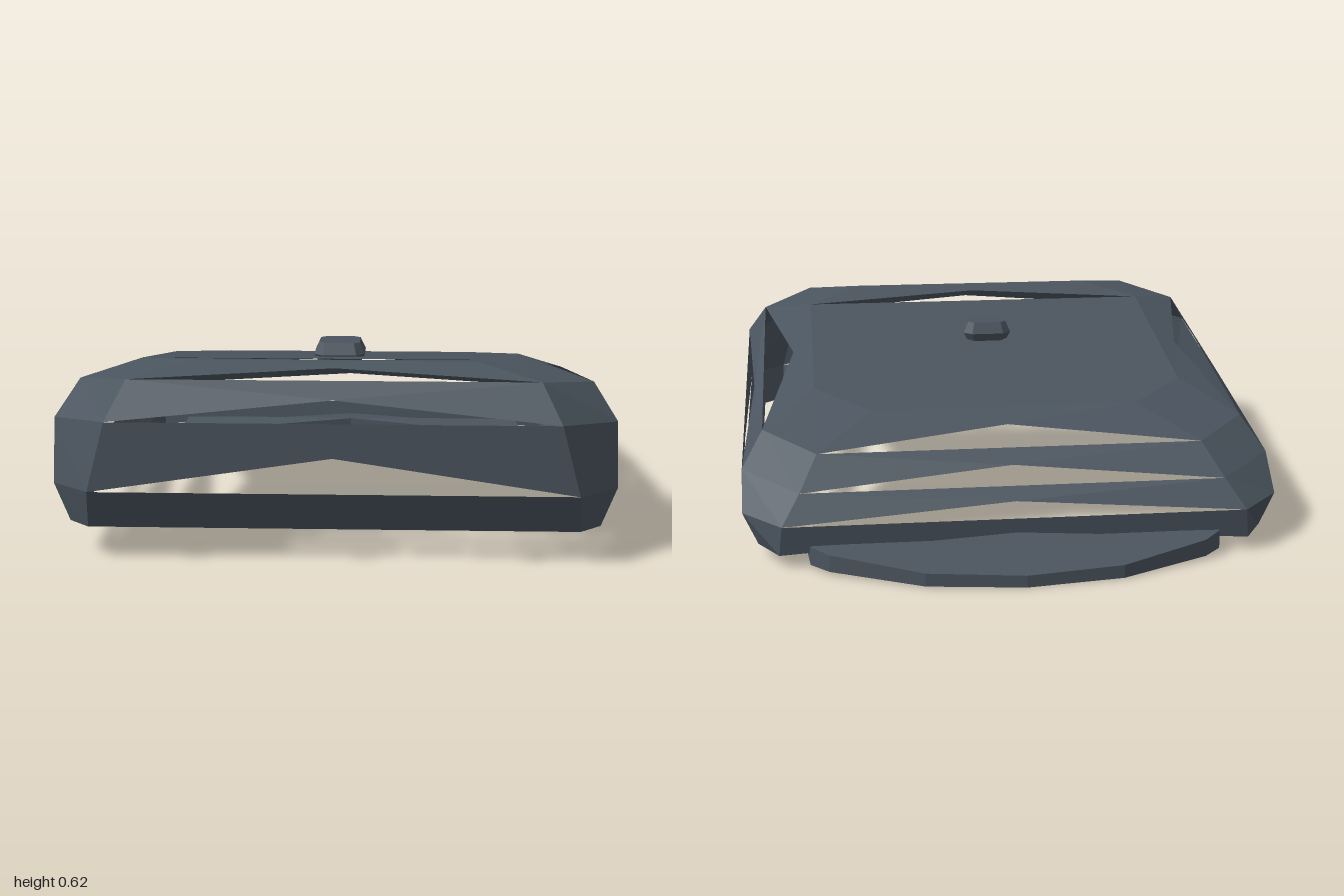
import * as THREE from 'three';

// Builds one flat-shaded mesh from convex polygons fanned from their first corner
function polyMesh(name, polys, material) {
  const pos = [];
  for (const p of polys) {
    for (let i = 1; i < p.length - 1; i++) pos.push(...p[0], ...p[i], ...p[i + 1]);
  }
  const g = new THREE.BufferGeometry();
  g.setAttribute('position', new THREE.Float32BufferAttribute(pos, 3));
  g.computeVertexNormals();
  const mesh = new THREE.Mesh(g, material);
  mesh.name = name;
  return mesh;
}

const flip = ([x, y, z]) => [-x, y, z];

// Full eight-cornered ring from its four left-hand corners, front to back
const ring = (h) => [flip(h[0]), ...h, flip(h[3]), flip(h[2]), flip(h[1])];

export function createModel() {
  const group = new THREE.Group();
  group.name = 'slottedCap';
  const slate = new THREE.MeshStandardMaterial({ color: 0x4b555f, side: THREE.DoubleSide, flatShading: true });
  slate.name = 'slate';

  // Rings from crown to rim
  const topY = (z) => 0.62 - 0.162 * (0.77 - z);
  const rings = [
    [[0.46, topY(0.77), 0.77], [0.65, topY(0.58), 0.58], [0.65, topY(-0.21), -0.21], [0.46, topY(-0.4), -0.4]],
    [[0.65, 0.585, 0.92], [0.83, 0.55, 0.73], [0.83, 0.375, -0.4], [0.65, 0.34, -0.585]],
    [[0.71, 0.465, 1.0], [0.9, 0.44, 0.82], [0.9, 0.27, -0.5], [0.71, 0.24, -0.69]],
    [[0.77, 0.24, 1.0], [0.9, 0.235, 0.87], [0.9, 0.16, -0.63], [0.77, 0.15, -0.76]],
    [[0.78, 0.11, 0.94], [0.85, 0.11, 0.87], [0.85, 0.05, -0.63], [0.78, 0.05, -0.75]],
  ].map(ring);

  // Middle of each band's lower edge: front, left side, back
  const mids = [
    [[0, 0.607, 0.83], [0.72, 0.5, 0.17], [0, 0.39, -0.48]],
    [[0, 0.53, 0.955], [0.865, 0.405, 0.05], [0, 0.295, -0.635]],
    [[0, 0.355, 1.0], [0.9, 0.26, -0.1], [0, 0.2, -0.73]],
    [[0, 0.11, 0.94], [0.85, 0.08, 0.12], [0, 0.1, -0.755]],
  ];
  const bandNames = ['crownEdge', 'upperBand', 'middleBand', 'rimBand'];

  // Bands: solid chamfered corners joined by strips with notched lower edges
  mids.forEach((m, k) => {
    const U = rings[k], L = rings[k + 1], mid = [...m, flip(m[1])];
    const polys = [];
    for (let i = 0; i < 8; i++) {
      const j = (i + 1) % 8;
      const quad = [L[j], U[j], U[i], L[i]];
      polys.push(i % 2 ? quad : [mid[i / 2], ...quad]);
    }
    group.add(polyMesh(bandNames[k], polys, slate));
  });

  // Crown panel and the front strip, separated by a slit
  const T = rings[0];
  group.add(polyMesh('crownPanel', [[T[7], T[2], T[3], T[4], T[5], T[6]]], slate));
  group.add(polyMesh('crownFrontStrip', [[[0, topY(0.69), 0.69], T[7], T[0], T[1], T[2]]], slate));

  // Visor: sloping plate whose ends taper to points
  const outline = [[0.7, -0.58], [0.68, -0.76], [0.62, -0.82], [0.32, -0.96], [0, -1],
    [-0.32, -0.96], [-0.62, -0.82], [-0.68, -0.76], [-0.7, -0.58], [0, -0.72]];
  const tip = ([x, z]) => Math.abs(x) === 0.7;
  const up = outline.map((p) => [p[0], tip(p) ? 0.055 : 0.045 + 0.15 * (p[1] + 1), p[1]]);
  const low = outline.map((p) => [p[0], tip(p) ? 0.045 : 0.005 + 0.055 * (p[1] + 1), p[1]]);
  const visor = [];
  up.forEach((p, i) => {
    const j = (i + 1) % up.length;
    visor.push([low[j], low[i], p, up[j]]);
    if (i < 8) visor.push([up[9], p, up[j]], [low[9], low[j], low[i]]);
  });
  group.add(polyMesh('visor', visor, slate));

  // Button on the crown: chamfered square with a bevelled top
  const square = (h, c, y) => [[-h + c, h], [h - c, h], [h, h - c], [h, -h + c],
    [h - c, -h], [-h + c, -h], [-h, -h + c], [-h, h - c]].map(([x, z]) => [x, y, z]);
  const levels = [square(0.065, 0.02, -0.045), square(0.088, 0.03, 0), square(0.07, 0.02, 0.04)];
  const button = [levels[2], [...levels[0]].reverse()];
  for (let k = 0; k < 2; k++) {
    for (let i = 0; i < 8; i++) {
      const j = (i + 1) % 8;
      button.push([levels[k][i], levels[k][j], levels[k + 1][j], levels[k + 1][i]]);
    }
  }
  const knob = polyMesh('button', button, slate);
  knob.position.set(-0.005, 0.553, 0.245);
  group.add(knob);

  return group;
}
